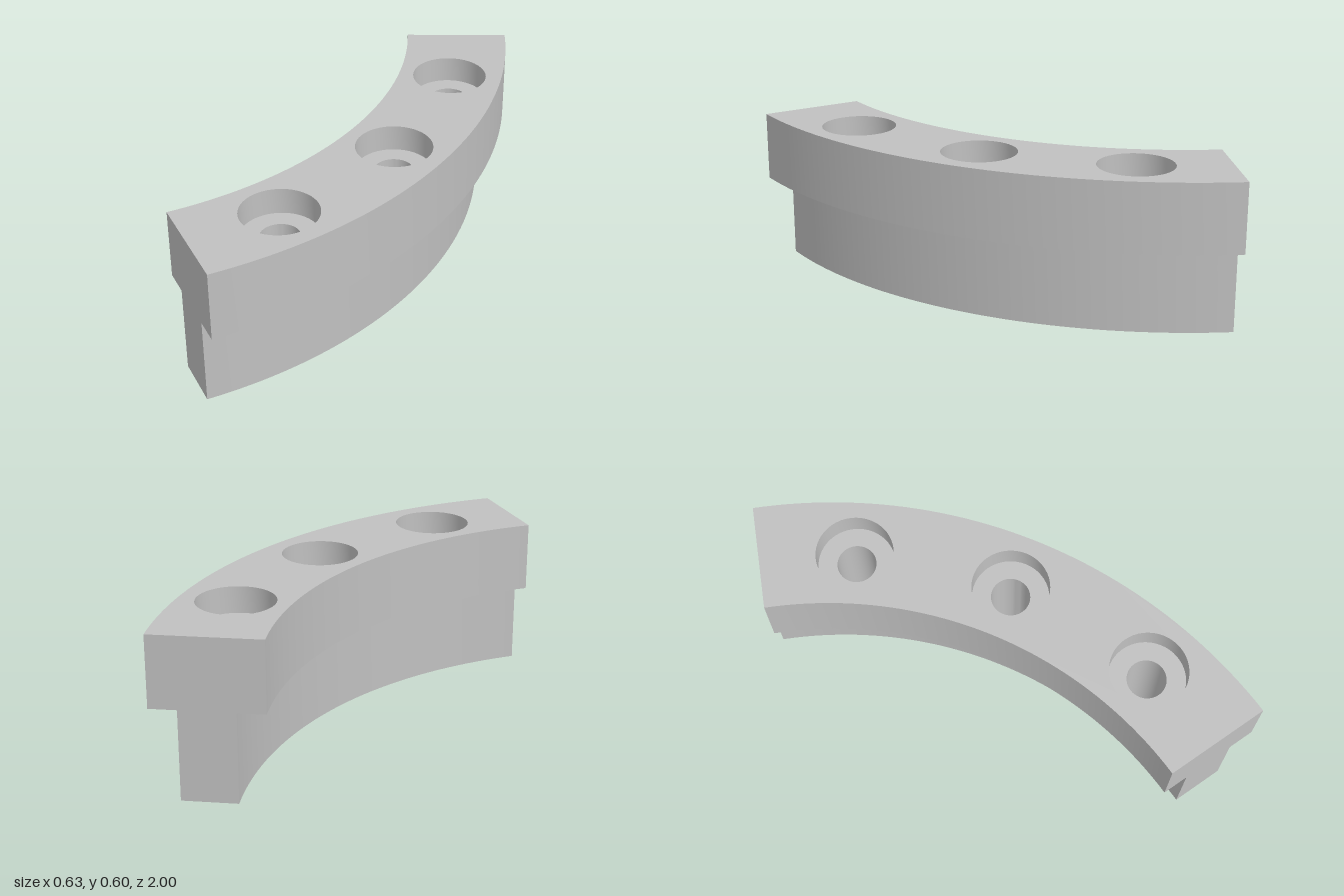
import * as THREE from 'three';
import { mergeGeometries, toCreasedNormals } from 'three/addons/utils/BufferGeometryUtils.js';

const CX = -1.567;                               // centre of the arc
const A = THREE.MathUtils.degToRad(32.1);        // half sweep
const HOLE_A = THREE.MathUtils.degToRad(20.1);   // spacing of the holes
const HOLE_R = 1.677;                            // radius of the hole circle
const BORE = 0.0725, SINK = 0.143, SINK_Y = 0.5;
const TOP = 0.6, STEP = 0.335, SEG = 48;

// T-shaped section as [radius, height]: outer side going up, inner side going down
const OUTER = [[1.78, 0], [1.78, STEP], [1.88, STEP], [1.88, TOP]];
const INNER = [[1.48, TOP], [1.48, STEP], [1.58, STEP], [1.58, 0]];

const vecs = (pts) => pts.map(([x, y]) => new THREE.Vector2(x, y));
const holeCentres = [-HOLE_A, 0, HOLE_A].map((a) => [HOLE_R * Math.cos(a), HOLE_R * Math.sin(a)]);

// Flat curved face pierced by the three holes
function arcFace(rIn, rOut, holeR) {
  const s = new THREE.Shape();
  s.absarc(0, 0, rOut, -A, A, false);
  s.absarc(0, 0, rIn, A, -A, true);
  s.closePath();
  for (const [x, y] of holeCentres) {
    s.holes.push(new THREE.Path().absarc(x, y, holeR, 0, Math.PI * 2, true));
  }
  return new THREE.ShapeGeometry(s, SEG / 2);
}

// Swept side walls with their ledges
const sweep = (pts) => new THREE.LatheGeometry(vecs(pts), SEG, Math.PI / 2 - A, 2 * A);

// Flat end of the segment
const endFace = (side) =>
  new THREE.ShapeGeometry(new THREE.Shape(vecs([...OUTER, ...INNER].map(([r, y]) => [side * r, y]))));

export function createModel() {
  const group = new THREE.Group();
  group.name = 'curvedRailSegment';

  const metal = new THREE.MeshStandardMaterial({ color: 0xc0c0c0 });
  metal.name = 'light grey';

  const add = (name, parts) => {
    const mesh = new THREE.Mesh(toCreasedNormals(mergeGeometries(parts), 0.6), metal);
    mesh.name = name;
    mesh.position.x = CX;
    group.add(mesh);
  };

  // Outer skin of the stepped arc
  add('railBody', [
    sweep(OUTER),
    sweep(INNER),
    arcFace(1.48, 1.88, SINK).rotateX(-Math.PI / 2).translate(0, TOP, 0),
    arcFace(1.58, 1.78, BORE).rotateX(Math.PI / 2),
    endFace(1).rotateY(-A),
    endFace(-1).rotateY(Math.PI + A),
  ]);

  // Counterbored through holes
  const profile = vecs([[SINK, TOP], [SINK, SINK_Y], [BORE, SINK_Y], [BORE, 0]]);
  holeCentres.forEach(([x, z], i) => {
    add(`boltHole${i + 1}`, [new THREE.LatheGeometry(profile, SEG).translate(x, 0, z)]);
  });

  return group;
}
